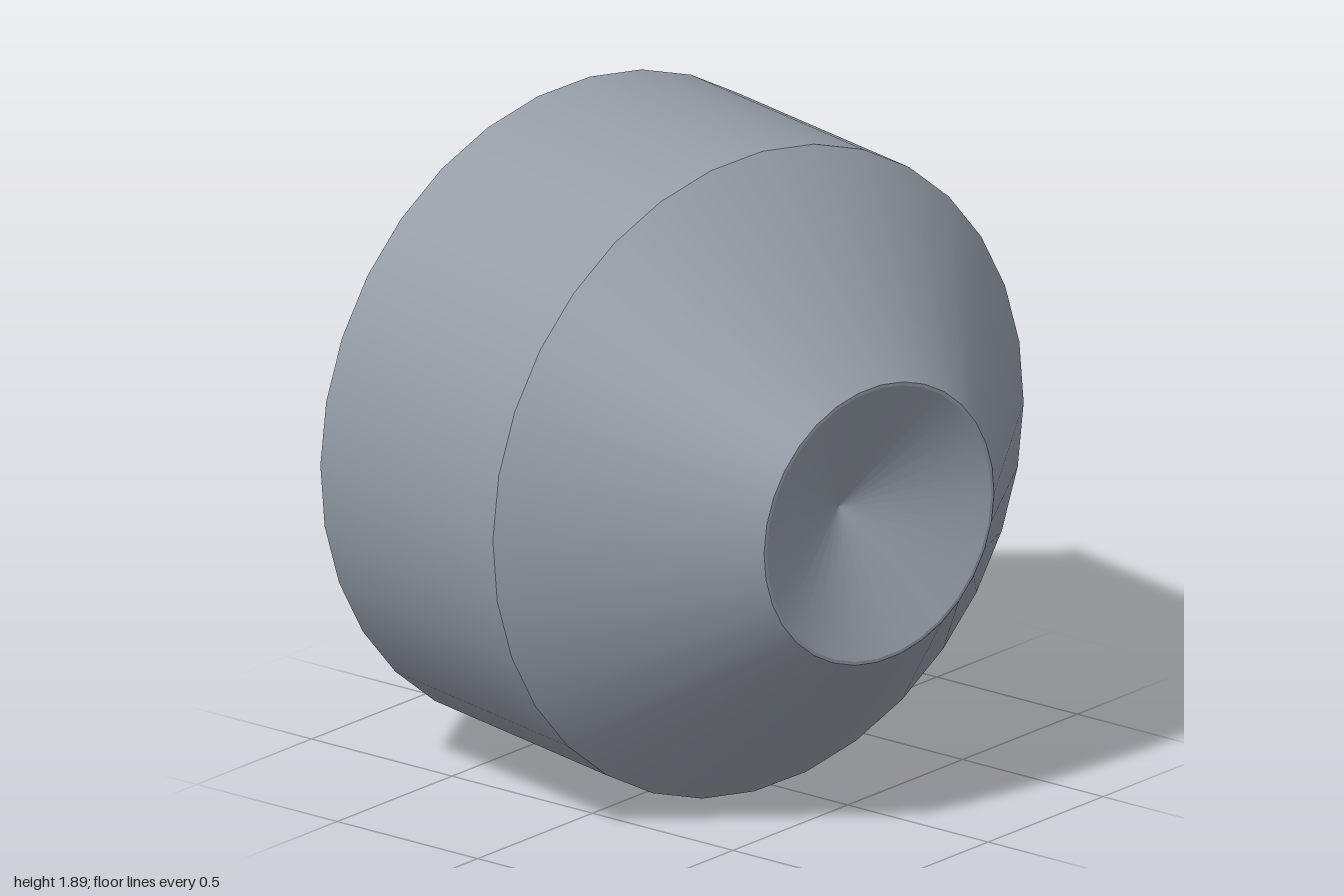
import * as THREE from 'three';

export function createModel() {
  const steel = new THREE.MeshStandardMaterial({ color: 0x949ca6 });
  steel.name = 'steel grey';

  const model = new THREE.Group();
  model.name = 'socketSetScrew';
  const add = (name, geometry) => {
    const mesh = new THREE.Mesh(geometry, steel);
    mesh.name = name;
    model.add(mesh);
  };

  // Turned outer surfaces, each band its own lathe so the rims stay sharp
  const rearY = -0.711, socketR = 0.565;
  const profile = [
    ['rearFace', socketR - 0.003, rearY],
    ['rearChamfer', 0.731, rearY],
    ['body', 0.937, -0.506],
    ['taperedNose', 0.937, 0.255],
    ['cupLip', 0.406, 0.788],
    ['cup', 0.396, 0.788],
    ['', 0, 0.61],
  ];
  for (let i = 0; i < profile.length - 1; i++) {
    const [name, r0, y0] = profile[i];
    const [, r1, y1] = profile[i + 1];
    add(name, new THREE.LatheGeometry([new THREE.Vector2(r0, y0), new THREE.Vector2(r1, y1)], 32));
  }

  // Hexagonal socket: a conical countersink that cuts into six flat walls
  const floorY = 0.2, steps = 8;
  const apothem = socketR * Math.cos(Math.PI / 6);
  const countersink = [], walls = [], floor = [];
  const point = (r, a, y) => [r * Math.cos(a), y, r * Math.sin(a)];
  const quad = (out, a, b, c, d) => out.push(...a, ...b, ...c, ...a, ...c, ...d);
  for (let side = 0; side < 6; side++) {
    const mid = side * Math.PI / 3;
    const column = (i) => {
      const off = (i / steps - 0.5) * Math.PI / 3;
      const r = apothem / Math.cos(off);
      return {
        rim: point(socketR, mid + off, rearY),
        cut: point(r, mid + off, rearY + socketR - r),
        base: point(r, mid + off, floorY),
      };
    };
    for (let i = 0; i < steps; i++) {
      const p = column(i), q = column(i + 1);
      quad(countersink, p.rim, q.rim, q.cut, p.cut);
      quad(walls, p.cut, q.cut, q.base, p.base);
      floor.push(0, floorY, 0, ...p.base, ...q.base);
    }
  }
  const surface = (positions) => {
    const g = new THREE.BufferGeometry();
    g.setAttribute('position', new THREE.Float32BufferAttribute(positions, 3));
    g.computeVertexNormals();
    return g;
  };
  add('socketCountersink', surface(countersink));
  add('socketWalls', surface(walls));
  add('socketFloor', surface(floor));

  // Lay the screw along its slightly tilted axis
  const axis = new THREE.Vector3(0.978, -0.019, 0.209).normalize();
  const across = new THREE.Vector3(-0.209, 0, 0.978).normalize();
  const up = new THREE.Vector3().crossVectors(across, axis);
  model.quaternion.setFromRotationMatrix(new THREE.Matrix4().makeBasis(across, axis, up));
  model.position.set(-0.005, 0.945, 0.0235);

  const group = new THREE.Group();
  group.name = 'setScrew';
  group.add(model);
  return group;
}
